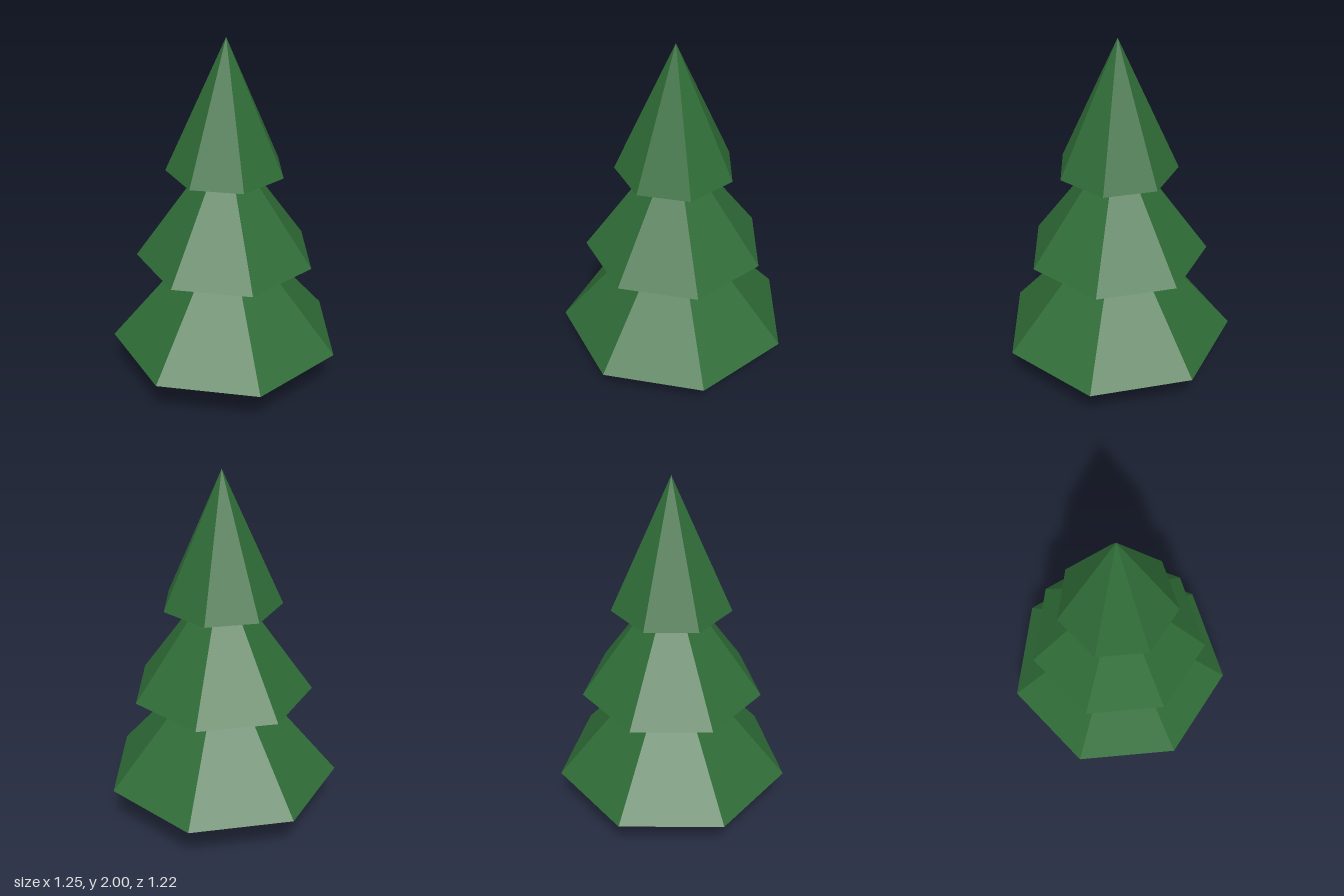
import * as THREE from 'three';

const SIDES = 7;
const AXIS_Z = -0.032; // puts the seven-sided outline's bounds at the centre

export function createModel() {
  const tree = new THREE.Group();
  tree.name = 'pineTree';

  const green = new THREE.MeshStandardMaterial({ color: 0x2f6c37, flatShading: true });
  green.name = 'needle green';
  const brown = new THREE.MeshStandardMaterial({ color: 0x5c3d23, flatShading: true });
  brown.name = 'bark brown';

  // One faceted, closed solid standing on the given height
  const addPart = (name, geometry, material, base, height) => {
    const mesh = new THREE.Mesh(geometry, material);
    mesh.name = name;
    mesh.position.set(0, base + height / 2, AXIS_Z);
    tree.add(mesh);
  };

  // Slightly tapered trunk
  addPart('trunk', new THREE.CylinderGeometry(0.099, 0.11, 0.28, SIDES), brown, 0, 0.28);

  // Stacked foliage cones: name, radius, base height, apex height
  const tiers = [
    ['lowerFoliage', 0.64, 0.272, 1.035],
    ['middleFoliage', 0.49, 0.79, 1.48],
    ['topFoliage', 0.32, 1.29, 2],
  ];
  for (const [name, radius, base, apex] of tiers) {
    addPart(name, new THREE.ConeGeometry(radius, apex - base, SIDES), green, base, apex - base);
  }

  return tree;
}
